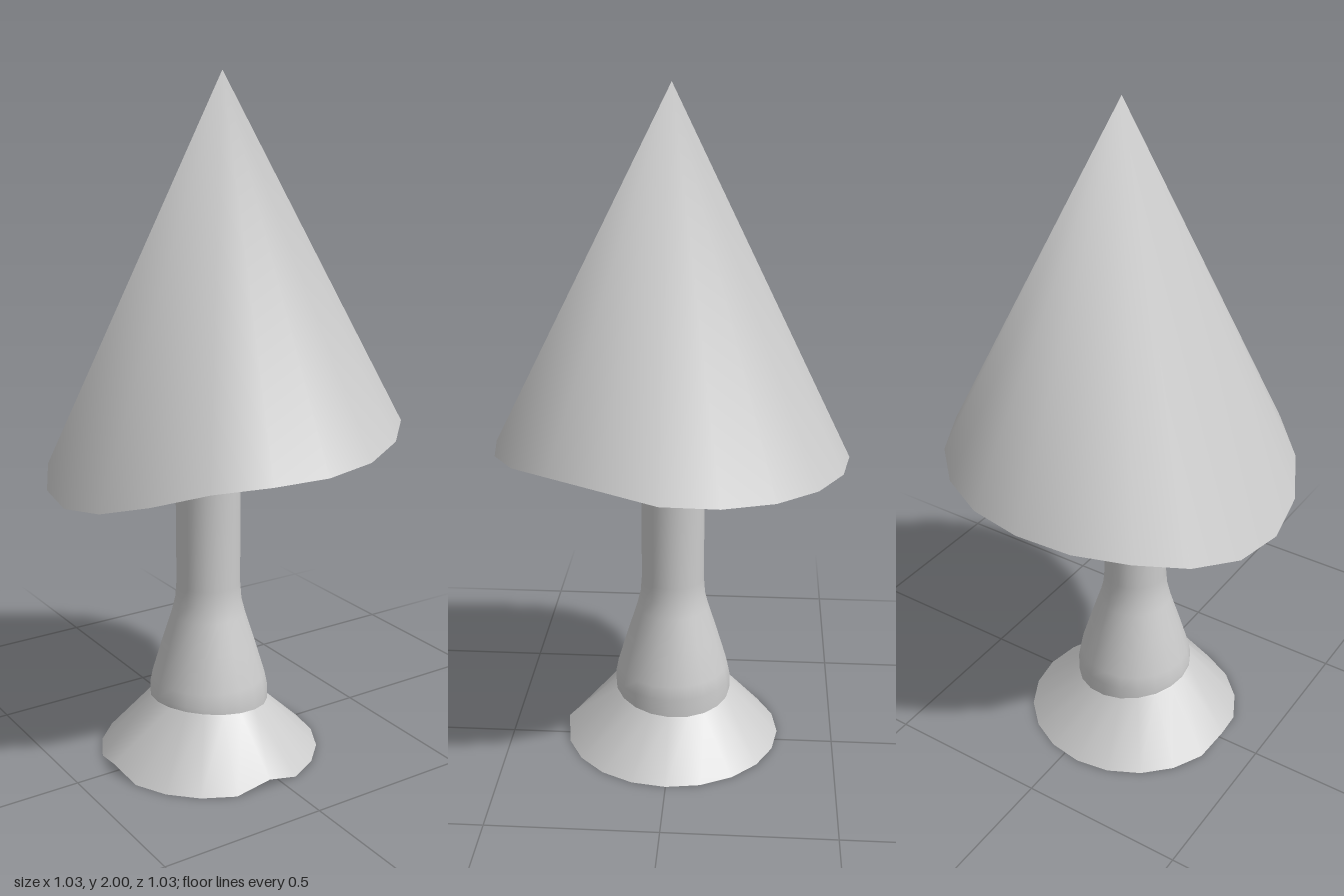
import * as THREE from 'three';

const SIDES = 20;
const material = new THREE.MeshStandardMaterial({ color: 0xcccccc });

// Skin of rings [radius, height], listed from bottom to top along the outside.
// Height is a number or a function of the side index; radius 0 is one shared point.
function ringSkin(rings) {
  const positions = [], index = [], starts = [];
  for (const [r, y] of rings) {
    starts.push(positions.length / 3);
    for (let i = 0; i < (r === 0 ? 1 : SIDES); i++) {
      const a = (i / SIDES) * Math.PI * 2;
      positions.push(r * Math.cos(a), typeof y === 'function' ? y(i, a) : y, r * Math.sin(a));
    }
  }
  const at = (k, i) => starts[k] + (rings[k][0] === 0 ? 0 : i % SIDES);
  for (let k = 0; k < rings.length - 1; k++) {
    for (let i = 0; i < SIDES; i++) {
      if (rings[k][0] !== 0) index.push(at(k, i), at(k + 1, i), at(k, i + 1));
      if (rings[k + 1][0] !== 0) index.push(at(k, i + 1), at(k + 1, i), at(k + 1, i + 1));
    }
  }
  const geometry = new THREE.BufferGeometry();
  geometry.setAttribute('position', new THREE.Float32BufferAttribute(positions, 3));
  geometry.setIndex(index);
  geometry.computeVertexNormals();
  return geometry;
}

export function createModel() {
  const model = new THREE.Group();
  const add = (parent, name, rings) => {
    const mesh = new THREE.Mesh(ringSkin(rings), material);
    mesh.name = name;
    parent.add(mesh);
  };

  // Conical cap with a wavy, tilted rim
  const rimHeights = [
    0.99, 1.02, 1.025, 1.005, 0.985, 0.975, 0.97, 0.955, 0.91, 0.865,
    0.84, 0.846, 0.878, 0.915, 0.935, 0.95, 0.955, 0.96, 0.967, 0.977,
  ];
  const rim = [0.515, (i) => rimHeights[i]];
  const cap = new THREE.Group();
  cap.name = 'cap';
  add(cap, 'capTop', [rim, [0, 2]]);
  add(cap, 'capUnderside', [[0, 0.907], rim]);
  model.add(cap);

  // Stalk and foot stand slightly off centre
  const stalk = new THREE.Group();
  stalk.name = 'stalk';
  stalk.position.x = -0.05;
  model.add(stalk);

  // Uneven seam where the stem meets the foot
  const seam = (i, a) => 0.16 - 0.02 * Math.cos(a) + 0.01 * Math.sin(a);
  add(stalk, 'stem', [
    [0.178, seam], [0.178, 0.2], [0.17, 0.24], [0.14, 0.34],
    [0.11, 0.435], [0.099, 0.48], [0.095, 0.53], [0.095, 0.96],
  ]);

  // Flared foot, with two rim points lifted off the ground
  const lifts = { 5: 0.03, 10: 0.025 };
  const footRim = [0.33, (i) => lifts[i] ?? 0];
  add(stalk, 'foot', [footRim, [0.182, seam], [0.17, (i, a) => seam(i, a) + 0.012]]);
  add(stalk, 'footUnderside', [[0, 0], footRim]);

  return model;
}
